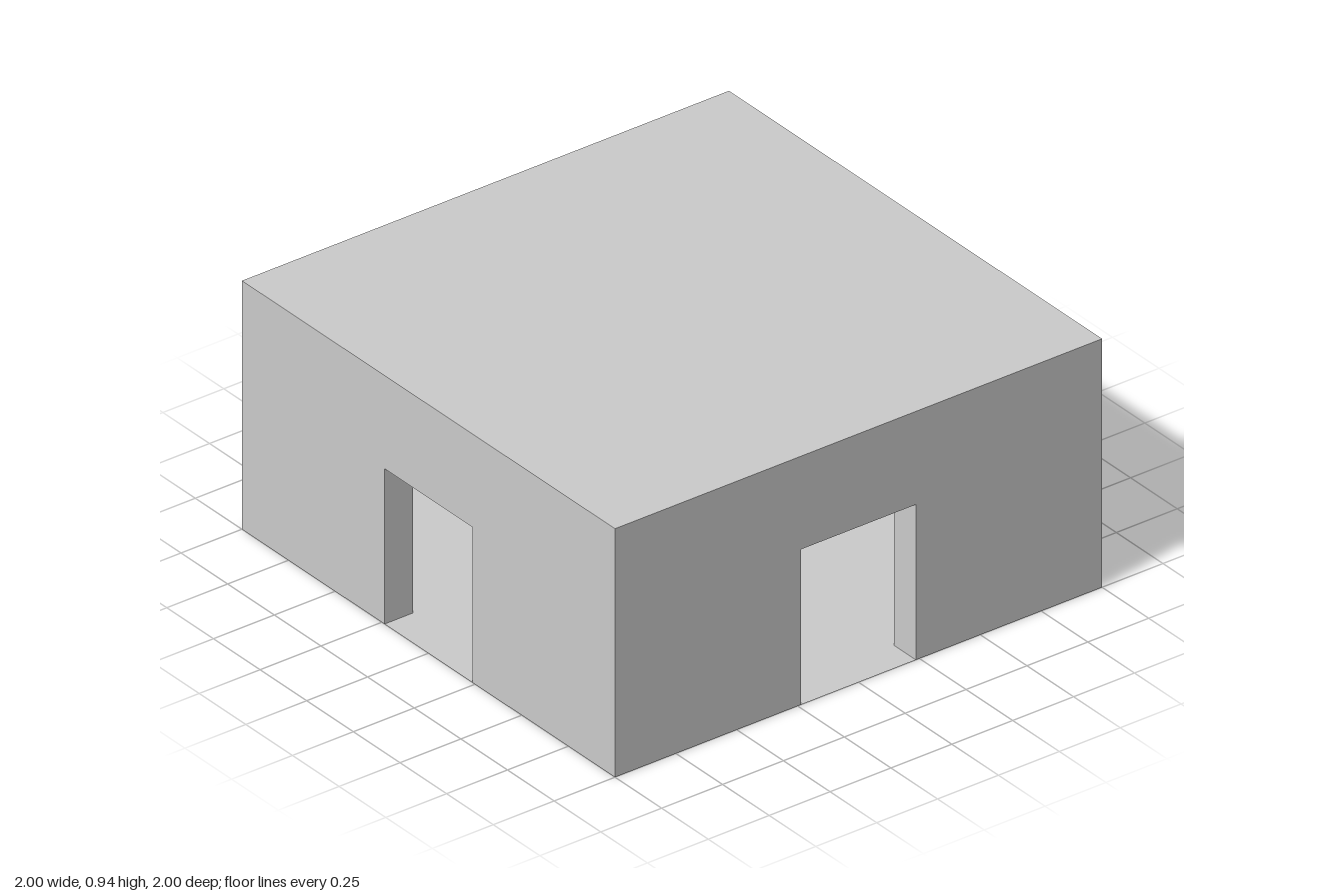
import * as THREE from 'three';

const U = 2 / 17;              // building module
const HALF = 1, HEIGHT = 8 * U, THICK = U;
const DOOR_HALF = 2 * U, DOOR_TOP = 5 * U;

const material = new THREE.MeshStandardMaterial({ color: 0xcccccc, flatShading: true });
const thin = new THREE.MeshStandardMaterial({ color: 0xcccccc, flatShading: true, side: THREE.DoubleSide });

function add(parent, name, geometry, mat = material) {
  const mesh = new THREE.Mesh(geometry, mat);
  mesh.name = name;
  parent.add(mesh);
  return mesh;
}

// Wall sheet with a doorway notched out of its lower edge, facing +z
function wallSheet(half, height) {
  return new THREE.ShapeGeometry(new THREE.Shape([
    [-half, 0], [-DOOR_HALF, 0], [-DOOR_HALF, DOOR_TOP], [DOOR_HALF, DOOR_TOP],
    [DOOR_HALF, 0], [half, 0], [half, height], [-half, height],
  ].map(([x, y]) => new THREE.Vector2(x, y))));
}

function createWall() {
  const wall = new THREE.Group();
  const midZ = HALF - THICK / 2;

  add(wall, 'outerFace', wallSheet(HALF, HEIGHT).translate(0, 0, HALF));
  add(wall, 'innerFace', wallSheet(HALF - THICK, HEIGHT - THICK)
    .rotateY(Math.PI).translate(0, 0, HALF - THICK));

  // Doorway reveals
  for (const side of [-1, 1]) {
    add(wall, side < 0 ? 'rightJamb' : 'leftJamb', new THREE.PlaneGeometry(THICK, DOOR_TOP)
      .rotateY(-side * Math.PI / 2).translate(side * DOOR_HALF, DOOR_TOP / 2, midZ));
  }
  add(wall, 'doorHeader', new THREE.PlaneGeometry(2 * DOOR_HALF, THICK)
    .rotateX(Math.PI / 2).translate(0, DOOR_TOP, midZ));
  return wall;
}

export function createModel() {
  const model = new THREE.Group();
  model.name = 'squareRoom';

  // Four identical walls, one per side
  ['frontWall', 'leftWall', 'backWall', 'rightWall'].forEach((name, i) => {
    const wall = createWall();
    wall.name = name;
    wall.rotation.y = i * Math.PI / 2;
    model.add(wall);
  });

  // Roof top, ceiling below it, and the thin floor
  const inner = 2 * (HALF - THICK);
  add(model, 'roof', new THREE.PlaneGeometry(2, 2).rotateX(-Math.PI / 2).translate(0, HEIGHT, 0));
  add(model, 'ceiling', new THREE.PlaneGeometry(inner, inner)
    .rotateX(Math.PI / 2).translate(0, HEIGHT - THICK, 0));
  add(model, 'floor', new THREE.PlaneGeometry(2, 2).rotateX(-Math.PI / 2), thin);

  return model;
}
